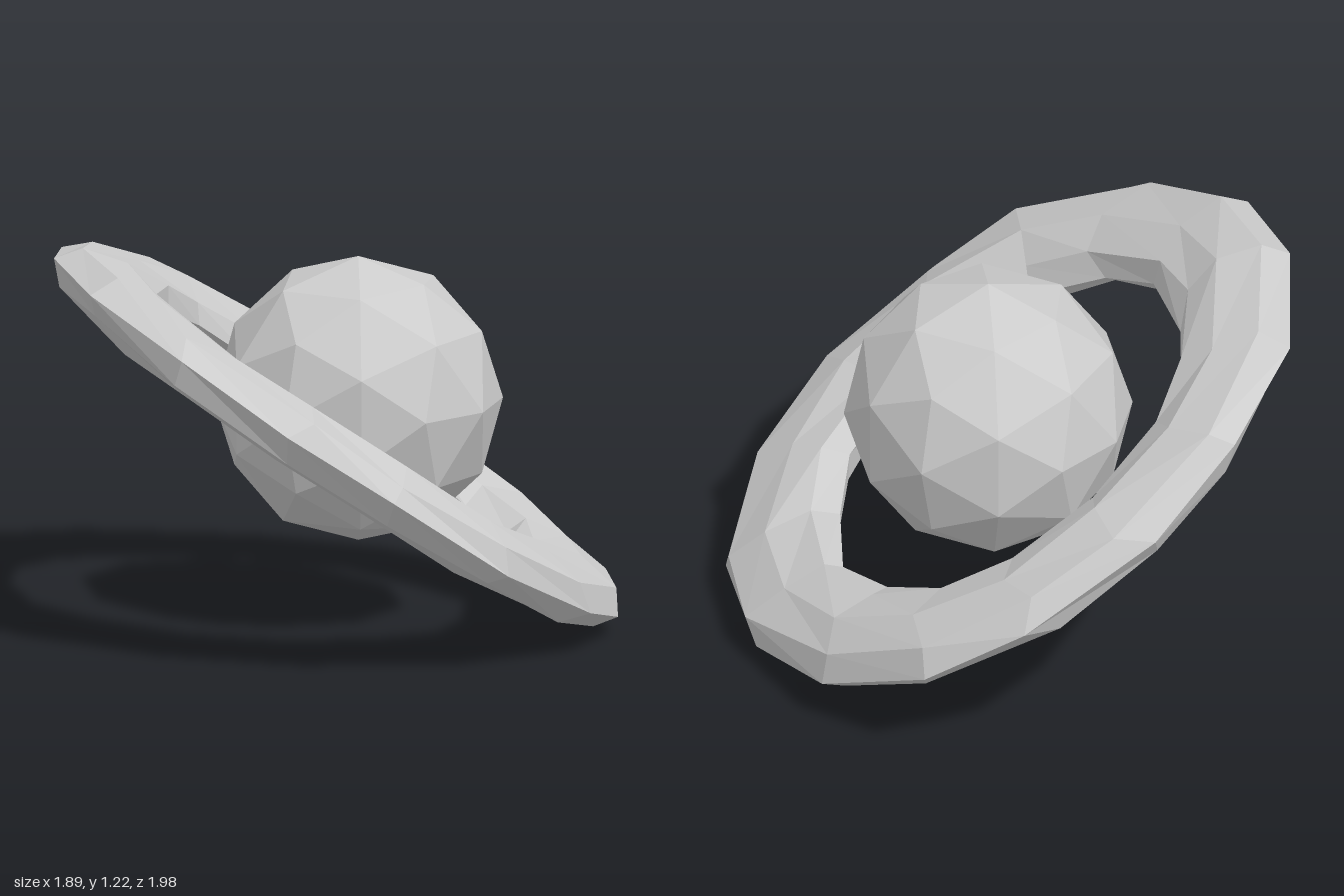
import * as THREE from 'three';

const material = new THREE.MeshStandardMaterial({ color: 0xcccccc, flatShading: true });
const ringMaterial = new THREE.MeshStandardMaterial({ color: 0xcccccc, flatShading: true, side: THREE.DoubleSide });

// small seeded jitter in -1..1
function makeJitter(seed) {
  return () => {
    seed = (seed * 16807) % 2147483647;
    return (seed / 2147483647) * 2 - 1;
  };
}

// Flattened, slightly rough low-poly torus lying in the xz plane
function ringGeometry(radius, halfWidth, halfHeight, segments, sides) {
  const jitter = makeJitter(4711);
  const positions = [];
  const index = [];
  for (let i = 0; i < segments; i++) {
    for (let j = 0; j < sides; j++) {
      const a = ((i + 0.14 * jitter()) / segments) * Math.PI * 2;
      const b = (j / sides) * Math.PI * 2;
      const r = radius + Math.cos(b) * halfWidth + 0.016 * jitter();
      const y = Math.sin(b) * halfHeight + 0.012 * jitter();
      positions.push(Math.cos(a) * r, y, Math.sin(a) * r);

      const i2 = (i + 1) % segments, j2 = (j + 1) % sides;
      const p = i * sides + j, q = i2 * sides + j;
      const s = i2 * sides + j2, t = i * sides + j2;
      index.push(p, t, s, p, s, q);
    }
  }
  const geometry = new THREE.BufferGeometry();
  geometry.setAttribute('position', new THREE.Float32BufferAttribute(positions, 3));
  geometry.setIndex(index);
  geometry.computeVertexNormals();
  return geometry;
}

export function createModel() {
  const model = new THREE.Group();
  model.name = 'ringedPlanet';

  // direction the ring faces, and its centre
  const axis = new THREE.Vector3(0.435, 0.834, -0.34).normalize();
  const centre = new THREE.Vector3(0, 0.625, 0);

  // tilted ring
  const ring = new THREE.Mesh(ringGeometry(0.855, 0.2, 0.1, 15, 8), ringMaterial);
  ring.name = 'ring';
  ring.quaternion.setFromUnitVectors(new THREE.Vector3(0, 1, 0), axis);
  ring.position.copy(centre);
  model.add(ring);

  // faceted planet, raised a little along the ring axis
  const planet = new THREE.Mesh(new THREE.IcosahedronGeometry(0.455, 1), material);
  planet.name = 'planet';
  planet.position.copy(centre).addScaledVector(axis, 0.13);
  model.add(planet);

  return model;
}
